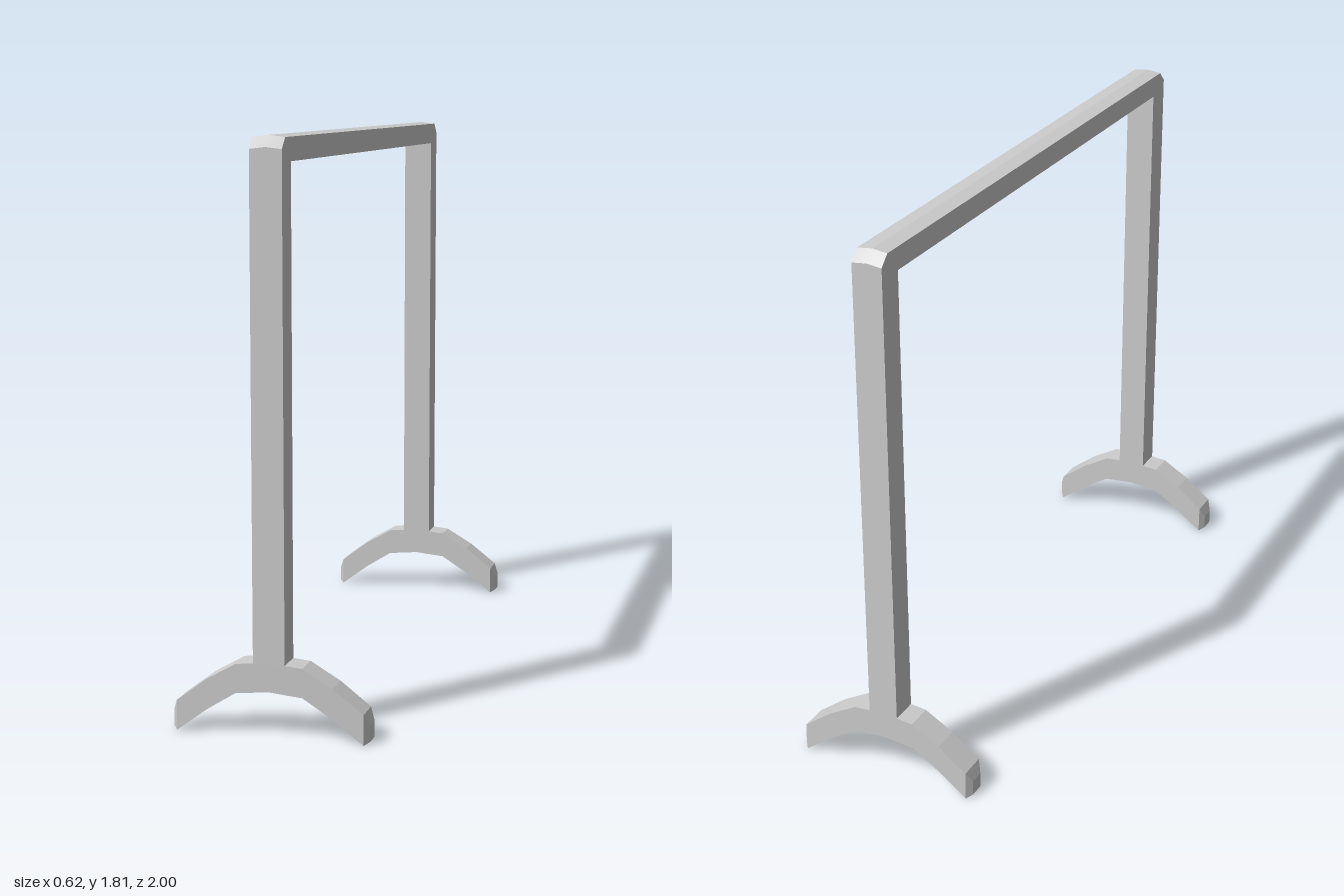
import * as THREE from 'three';
import { toCreasedNormals } from 'three/addons/utils/BufferGeometryUtils.js';

const grey = new THREE.MeshStandardMaterial({ color: 0xcccccc });
grey.name = 'light grey';

// Two posts and a top bar in one outline, with chamfered corners and a slightly crowned top
function frameGeometry() {
  const half = [[0.91, 1.73], [0.91, 0.228], [1, 0.228], [1, 1.768], [0.966, 1.802]];
  const mirrored = half.map(([z, y]) => [-z, y]).reverse();
  const outline = [...half, ...mirrored].map(([z, y]) => new THREE.Vector2(z, y));
  const geo = new THREE.ExtrudeGeometry(new THREE.Shape(outline), { depth: 0.1, steps: 2, bevelEnabled: false });
  geo.rotateY(-Math.PI / 2).translate(0.05, 0, 0);
  const p = geo.attributes.position;
  for (let i = 0; i < p.count; i++) {
    if (Math.abs(p.getX(i)) < 0.001 && p.getY(i) > 1.75) p.setY(i, p.getY(i) + 0.006);
  }
  return toCreasedNormals(geo, 0.2);
}

// Arched foot swept through rectangular sections, tapering at each toe
function footGeometry() {
  // x, top, bottom, half depth
  const side = [
    [0.105, 0.223, 0.132, 0.045],
    [0.2, 0.168, 0.072, 0.045],
    [0.295, 0.095, 0, 0.045],
    [0.311, 0.058, 0.008, 0.025],
  ];
  const sections = [
    ...side.map(([x, ...rest]) => [-x, ...rest]).reverse(),
    [-0.05, 0.228, 0.137, 0.045],
    [0, 0.228, 0.142, 0.045],
    [0.05, 0.228, 0.137, 0.045],
    ...side,
  ];
  const rings = sections.map(([x, t, b, d]) => [[x, t, d], [x, b, d], [x, b, -d], [x, t, -d]]);
  const pos = [];
  const quad = (a, b, c, d) => pos.push(...a, ...b, ...c, ...a, ...c, ...d);
  for (let i = 0; i < rings.length - 1; i++) {
    for (let k = 0; k < 4; k++) {
      const n = (k + 1) % 4;
      quad(rings[i][k], rings[i][n], rings[i + 1][n], rings[i + 1][k]);
    }
  }
  const first = rings[0], last = rings[rings.length - 1];
  quad(first[3], first[2], first[1], first[0]);
  quad(last[0], last[1], last[2], last[3]);
  const geo = new THREE.BufferGeometry();
  geo.setAttribute('position', new THREE.Float32BufferAttribute(pos, 3));
  geo.computeVertexNormals();
  return geo;
}

export function createModel() {
  const model = new THREE.Group();
  model.name = 'barrierFrame';

  const frame = new THREE.Mesh(frameGeometry(), grey);
  frame.name = 'postsAndTopBar';
  model.add(frame);

  const footGeo = footGeometry();
  for (const [name, z] of [['frontFoot', 0.955], ['backFoot', -0.955]]) {
    const foot = new THREE.Mesh(footGeo, grey);
    foot.name = name;
    foot.position.z = z;
    model.add(foot);
  }
  return model;
}
